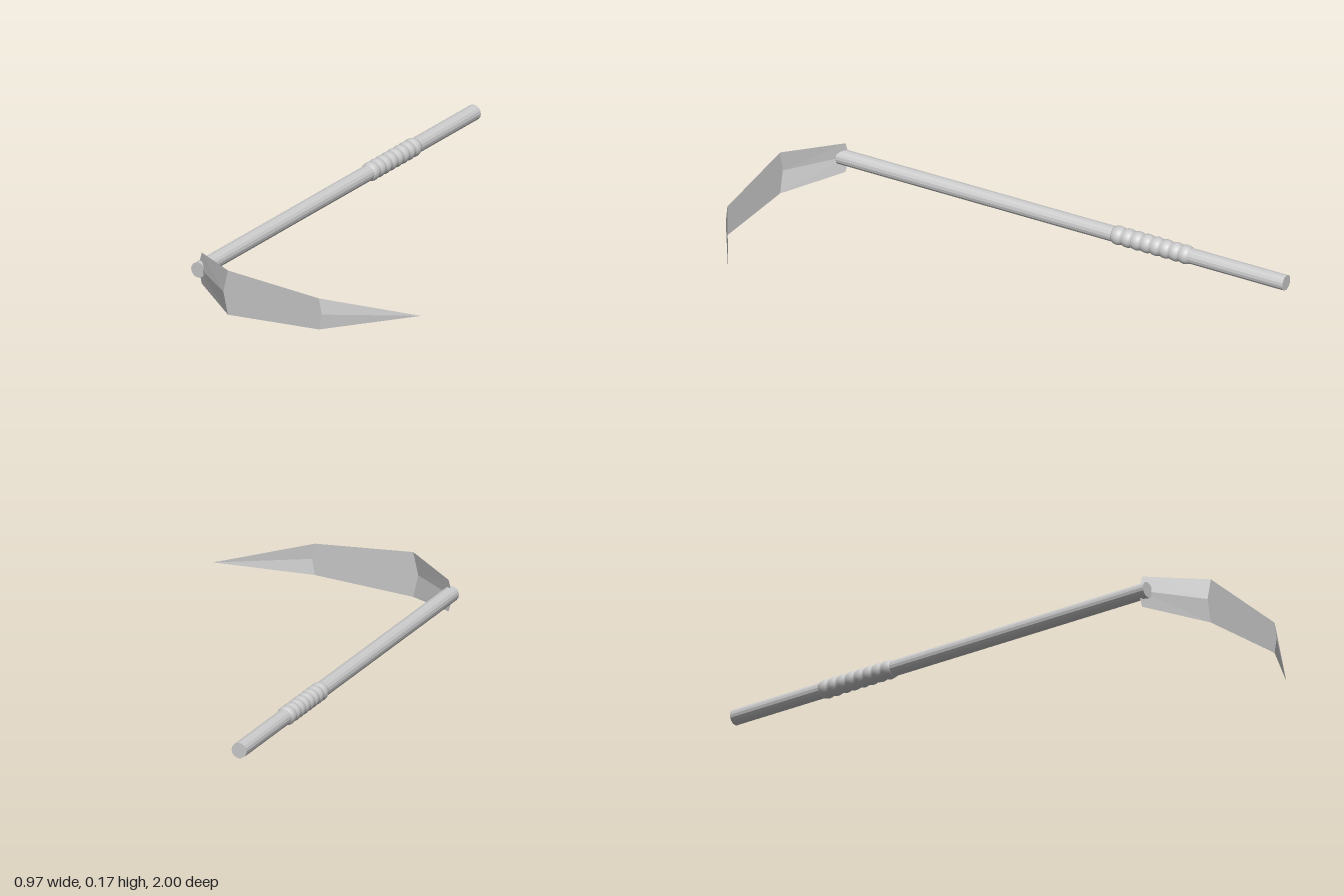
import * as THREE from 'three';

const material = (options = {}) => new THREE.MeshStandardMaterial({ color: 0xcccccc, ...options });

const SHAFT_X = -0.448, MID_Y = 0.088;

// Folded blade strip: each section has a top edge, a middle ridge and a bottom edge
function bladeGeometry() {
  // edge x, ridge x, edge z, ridge z, half height
  const sections = [
    [-0.448, -0.466, 0.845, 0.84, 0.061],
    [-0.235, -0.255, 1, 1, 0.087],
    [0.16, 0.172, 1, 1, 0.061],
    [0.485, 0.485, 0.815, 0.815, 0],
  ];
  const positions = [], index = [];
  for (const [ex, rx, ez, rz, h] of sections) {
    positions.push(ex, MID_Y + h, ez, rx, MID_Y, rz, ex, MID_Y - h, ez);
  }
  for (let s = 0; s < sections.length - 1; s++) {
    for (let k = 0; k < 2; k++) {
      const a = s * 3 + k, b = a + 1, c = a + 3, d = a + 4;
      if (s === sections.length - 2) index.push(a, b, c); // single triangle to the point
      else index.push(a, b, d, a, d, c);
    }
  }
  const geometry = new THREE.BufferGeometry();
  geometry.setAttribute('position', new THREE.Float32BufferAttribute(positions, 3));
  geometry.setIndex(index);
  const flat = geometry.toNonIndexed();
  flat.computeVertexNormals();
  return flat;
}

export function createModel() {
  const group = new THREE.Group();

  // Long straight handle lying along z
  const shaft = new THREE.Mesh(
    new THREE.CylinderGeometry(0.03, 0.03, 1.87, 16).rotateX(Math.PI / 2),
    material({ flatShading: true }),
  );
  shaft.name = 'shaft';
  shaft.position.set(SHAFT_X, MID_Y, -0.065);
  group.add(shaft);

  // Ribbed hand grip wrapped around the shaft
  const ribs = 8, steps = 8, length = 0.32, profile = [new THREE.Vector2(0.028, -length / 2)];
  for (let i = 0; i <= ribs * steps; i++) {
    const t = i / (ribs * steps);
    const r = 0.031 + 0.005 * Math.abs(Math.sin(t * ribs * Math.PI));
    profile.push(new THREE.Vector2(r, (t - 0.5) * length));
  }
  profile.push(new THREE.Vector2(0.028, length / 2));
  const grip = new THREE.Mesh(
    new THREE.LatheGeometry(profile, 24).rotateX(Math.PI / 2),
    material(),
  );
  grip.name = 'grip';
  grip.position.set(SHAFT_X, MID_Y, -0.44);
  group.add(grip);

  // Curved, pointed blade
  const blade = new THREE.Mesh(
    bladeGeometry(),
    material({ flatShading: true, side: THREE.DoubleSide }),
  );
  blade.name = 'blade';
  group.add(blade);

  return group;
}
